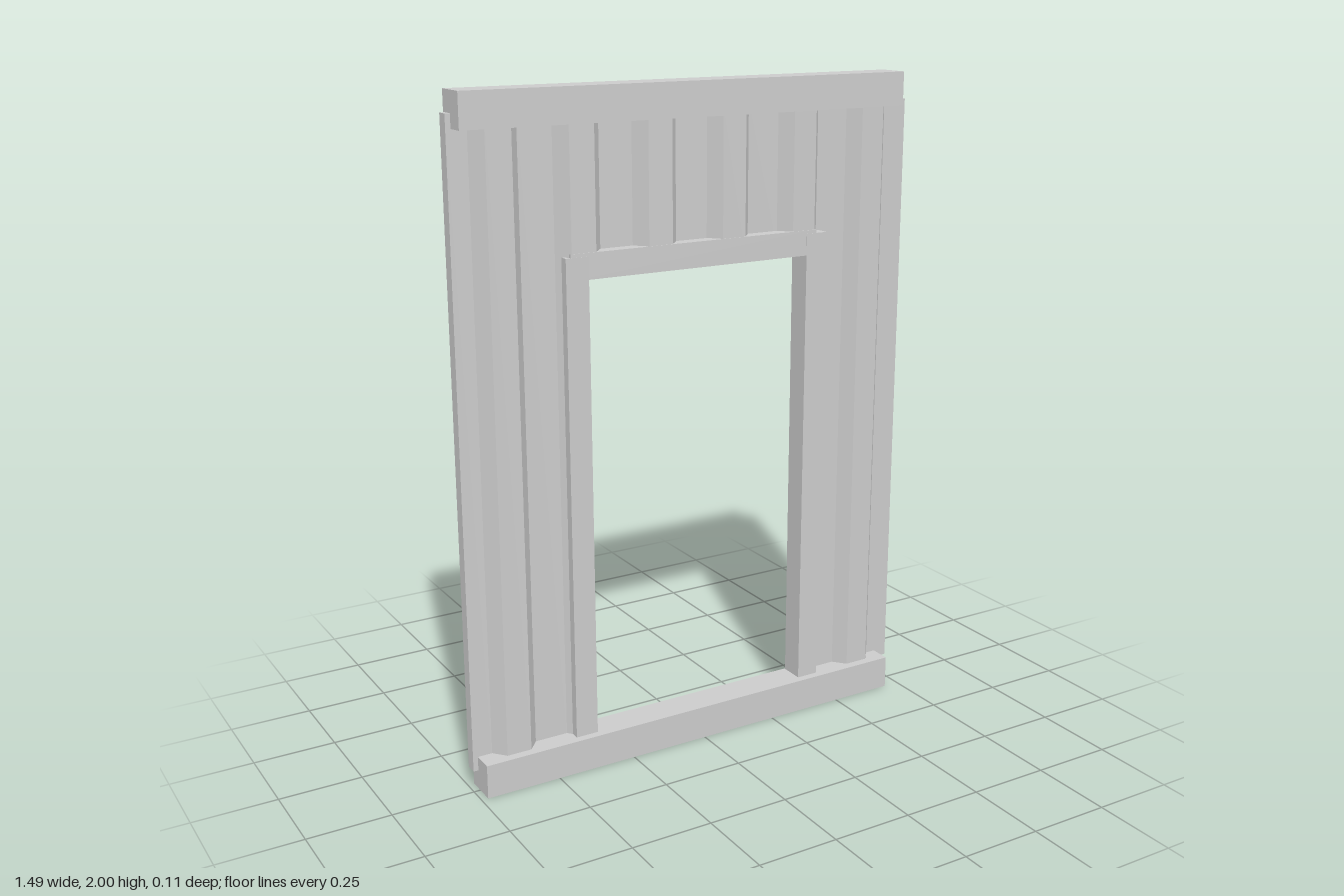
import * as THREE from 'three';

const material = new THREE.MeshStandardMaterial({ color: 0xcccccc, flatShading: true, side: THREE.DoubleSide });

// Box given by its limits on each axis
function beam(name, [x0, x1], [y0, y1], [z0, z1]) {
  const mesh = new THREE.Mesh(new THREE.BoxGeometry(x1 - x0, y1 - y0, z1 - z0), material);
  mesh.position.set((x0 + x1) / 2, (y0 + y1) / 2, (z0 + z1) / 2);
  mesh.name = name;
  return mesh;
}

// Trapezoidal ribs: front line of the sheet as [x, z]
const VALLEY = -0.009, CREST = 0.029, THICK = 0.035;
const ribs = [[-0.745, VALLEY]];
for (let i = 0; i < 6; i++) {
  const x = -0.685 + i * 0.2425;
  ribs.push([x, VALLEY], [x + 0.032, CREST], [x + 0.108, CREST], [x + 0.14, VALLEY]);
}
ribs.push([0.745, VALLEY]);

// Front z of the sheet at any x
function ribZ(x) {
  for (let i = 1; i < ribs.length; i++) {
    const [xa, za] = ribs[i - 1], [xb, zb] = ribs[i];
    if (x <= xb) return za + (zb - za) * (x - xa) / (xb - xa);
  }
  return VALLEY;
}

// Upright ribbed sheet between two x and two y limits
function sheet(name, x0, x1, y0, y1) {
  const line = [[x0, ribZ(x0)], ...ribs.filter(([x]) => x > x0 && x < x1), [x1, ribZ(x1)]];
  const outline = [
    ...line.map(([x, z]) => new THREE.Vector2(x, -z)),
    ...line.reverse().map(([x, z]) => new THREE.Vector2(x, THICK - z)),
  ];
  const geometry = new THREE.ExtrudeGeometry(new THREE.Shape(outline), { depth: y1 - y0, bevelEnabled: false });
  geometry.rotateX(-Math.PI / 2);
  const mesh = new THREE.Mesh(geometry, material);
  mesh.position.y = y0;
  mesh.name = name;
  return mesh;
}

export function createModel() {
  const group = new THREE.Group();
  group.name = 'doorwayWall';
  group.add(
    // Rails along the top and the ground
    beam('topRail', [-0.73, 0.695], [1.9, 2], [-0.055, 0.046]),
    beam('bottomRail', [-0.73, 0.7], [0, 0.103], [-0.046, 0.056]),
    // Ribbed cladding around the doorway
    sheet('rightSheet', -0.745, -0.4, 0.06, 1.94),
    sheet('leftSheet', 0.4, 0.745, 0.08, 1.915),
    sheet('sheetOverDoor', -0.4, 0.4, 1.5, 1.93),
    // Door frame
    beam('rightJamb', [-0.43, -0.36], [0.08, 1.54], [-0.043, 0.032]),
    beam('leftJamb', [0.365, 0.435], [0.08, 1.54], [-0.043, 0.032]),
    beam('doorHeader', [-0.415, 0.4], [1.475, 1.55], [-0.045, 0.031]),
  );
  return group;
}
